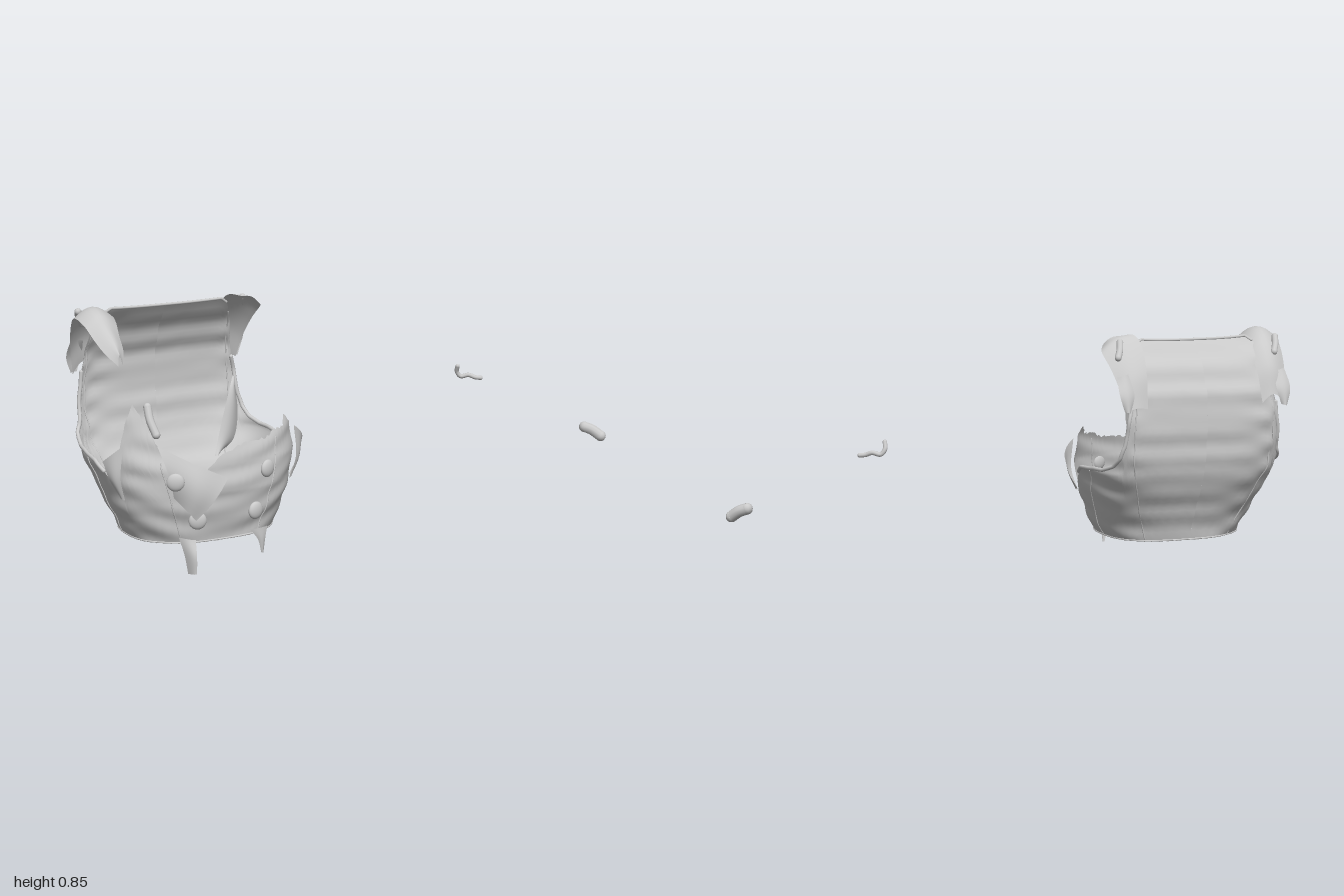
import * as THREE from 'three';
import { mergeVertices } from 'three/addons/utils/BufferGeometryUtils.js';

const cloth = new THREE.MeshStandardMaterial({ color: 0xcacaca, side: THREE.DoubleSide });
cloth.name = 'greyCloth';
const CX = -0.625;
const V = (p) => new THREE.Vector3(...p);

// Linear lookup of column k in a table sorted by its first column
function lookup(table, t, k = 1) {
  let i = 0;
  while (i < table.length - 2 && t > table[i + 1][0]) i++;
  const a = table[i], b = table[i + 1];
  const f = THREE.MathUtils.clamp((t - a[0]) / (b[0] - a[0]), 0, 1);
  return a[k] + (b[k] - a[k]) * f;
}

// Body rings: height, half width, front z, back z, squareness of the back
const rings = [
  [0.08, 0.245, 0.235, -0.175, 0.8], [0.18, 0.292, 0.258, -0.205, 0.7],
  [0.27, 0.322, 0.275, -0.25, 0.6], [0.36, 0.346, 0.27, -0.29, 0.5],
  [0.45, 0.342, 0.25, -0.303, 0.4], [0.55, 0.33, 0.225, -0.31, 0.35],
  [0.65, 0.32, 0.2, -0.3, 0.35], [0.75, 0.312, 0.16, -0.255, 0.35],
  [0.84, 0.28, 0.13, -0.185, 0.35],
];
// Torn top edge: angle from the front (towards +x), height
const armhole = [[69, 0.285], [76, 0.292], [82, 0.335], [90, 0.362], [97, 0.37], [107, 0.372],
  [120, 0.39], [129, 0.42], [134, 0.47], [138, 0.6], [143, 0.74], [148, 0.81], [157, 0.83], [180, 0.825]];
const rim = [
  ...armhole.map(([d, y]) => [-d, y]).reverse(),
  [-65, 0.37], [-58, 0.49], [-51, 0.57], [-44, 0.53], [-32, 0.43], [-16, 0.33], [-8, 0.34],
  [0, 0.40], [8, 0.425], [25, 0.43], [32, 0.45], [42, 0.45], [50, 0.485], [60, 0.43], [65, 0.34],
  ...armhole,
];
// Only the torn front is ragged
const rimY = (d) => lookup(rim, d)
  + (Math.abs(d) < 68 ? 0.005 * Math.sin(d * 1.9) * Math.sin(d * 0.67) : 0);

// Point on the body at an angle in degrees and a height, with soft cloth folds
function bodyPoint(d, y, lift = 0) {
  const t = THREE.MathUtils.degToRad(d), s = Math.sin(t), c = Math.cos(t);
  const a = lookup(rings, y, 1), zf = lookup(rings, y, 2), zb = lookup(rings, y, 3);
  const p = c >= 0 ? 0.8 : lookup(rings, y, 4);
  const zc = (zf + zb) / 2, b = (zf - zb) / 2;
  const fold = 0.0022 * Math.sin(y * 58 + 3 * Math.cos(t * 2) + 2 * s)
    + 0.0015 * Math.sin(y * 83 - 4 * s + 2 * Math.cos(t * 3)) + lift;
  return new THREE.Vector3(
    CX + Math.sign(s) * Math.abs(s) ** p * (a + fold), y,
    zc + Math.sign(c) * Math.abs(c) ** p * (b + fold));
}

// Smooth surface from a grid of points f(u, v)
function sheet(f, nu, nv) {
  const pos = [], idx = [];
  for (let i = 0; i <= nu; i++) for (let j = 0; j <= nv; j++) {
    pos.push(...f(i / nu, j / nv).toArray());
    if (i < nu && j < nv) {
      const k = i * (nv + 1) + j, m = k + nv + 1;
      idx.push(k, m, k + 1, m, m + 1, k + 1);
    }
  }
  let g = new THREE.BufferGeometry();
  g.setAttribute('position', new THREE.Float32BufferAttribute(pos, 3));
  g.setIndex(idx);
  g = mergeVertices(g, 1e-5);
  g.computeVertexNormals();
  return g;
}

// Cloth strip between two edge curves, arched by a bulge vector
function strip(a, b, bulge, n = 32) {
  const ca = new THREE.CatmullRomCurve3(a.map(V)), cb = new THREE.CatmullRomCurve3(b.map(V));
  return sheet((u, v) => ca.getPoint(u).lerp(cb.getPoint(u), v)
    .addScaledVector(V(bulge), Math.sin(Math.PI * v)), n, 8);
}

// Round cord with closed ends
function cord(points, r) {
  const g = new THREE.Group();
  const curve = new THREE.CatmullRomCurve3(points);
  g.add(new THREE.Mesh(new THREE.TubeGeometry(curve, points.length * 6, r, 10), cloth));
  for (const p of [points[0], points[points.length - 1]]) {
    const cap = new THREE.Mesh(new THREE.SphereGeometry(r, 12, 8), cloth);
    cap.position.copy(p);
    g.add(cap);
  }
  return g;
}

export function createModel() {
  const model = new THREE.Group();
  const add = (name, o) => {
    const part = o.isBufferGeometry ? new THREE.Mesh(o, cloth) : o;
    part.name = name;
    model.add(part);
    return part;
  };

  // Vest body
  add('vestBody', sheet((u, v) => {
    const d = -180 + 360 * u, low = 0.102 + 0.003 * Math.sin(d * 0.9);
    return bodyPoint(d, low + (rimY(d) - low) * v);
  }, 240, 44));

  // Hems round the bottom, the armholes and the neck
  const edge = (from, to, h) => Array.from({ length: 40 }, (_, i) => {
    const d = from + (to - from) * i / 39;
    return bodyPoint(d, h(d));
  });
  add('bottomHem', cord(edge(-180, 180, () => 0.104), 0.003));
  add('neckHem', cord(edge(150, 210, (d) => rimY(d > 180 ? d - 360 : d)), 0.005));
  for (const s of [-1, 1]) {
    add('armholeHem', cord(edge(s * 82, s * 138, rimY), 0.007));
    // Seams down the sides, the front and the back
    for (const d of [27, 93, 146]) {
      const top = Math.min(rimY(s * d), 0.8);
      add('seam', cord(Array.from({ length: 14 }, (_, i) =>
        bodyPoint(s * (d + (d < 60 ? i * 0.4 : 0)), 0.11 + (top - 0.12) * i / 13)), 0.0025));
    }
    // Torn corners that flare out in front of the armholes
    const mx = (x) => CX + s * x;
    add('armholeFlap', strip(
      [[mx(0.30), 0.25, 0.14], [mx(0.32), 0.33, 0.155], [mx(0.31), 0.44, 0.16]],
      [[mx(0.31), 0.26, 0.12], [mx(0.345), 0.32, 0.12], [mx(0.365), 0.385, 0.115]], [s * 0.006, 0, 0.006]));
  }

  // Long shoulder strap, crowned along its middle and reaching over to the front
  add('rightStrap', strip(
    [[-0.84, 0.6, -0.31], [-0.835, 0.71, -0.275], [-0.835, 0.785, -0.205], [-0.85, 0.815, -0.12],
      [-0.865, 0.805, -0.05], [-0.875, 0.77, 0.0], [-0.88, 0.73, 0.045], [-0.9, 0.69, 0.085]],
    [[-0.93, 0.59, -0.305], [-0.945, 0.68, -0.28], [-0.965, 0.77, -0.215], [-0.985, 0.82, -0.12],
      [-0.98, 0.805, -0.04], [-0.965, 0.765, 0.005], [-0.945, 0.725, 0.05], [-0.915, 0.69, 0.085]],
    [0, 0.036, -0.006], 48));

  // Short torn strap on the other shoulder
  add('leftStrap', strip(
    [[-0.39, 0.6, -0.315], [-0.4, 0.72, -0.28], [-0.41, 0.81, -0.215], [-0.4, 0.845, -0.17], [-0.36, 0.84, -0.14]],
    [[-0.31, 0.59, -0.315], [-0.295, 0.67, -0.285], [-0.28, 0.74, -0.24], [-0.27, 0.79, -0.19], [-0.3, 0.81, -0.13]],
    [0.005, 0.01, -0.006]));
  // Crumpled knots and frays where the straps meet the back
  for (const x of [-0.93, -0.32]) {
    add('strapKnot', cord([[x - 0.01, 0.825, -0.208], [x, 0.80, -0.23], [x + 0.015, 0.775, -0.25]].map(V), 0.012));
    add('strapFray', strip(
      [[x - 0.01, 0.72, -0.28], [x - 0.02, 0.65, -0.31], [x, 0.59, -0.325]],
      [[x + 0.03, 0.71, -0.275], [x + 0.035, 0.65, -0.312], [x + 0.02, 0.595, -0.32]], [0, 0, -0.008]));
  }

  // Torn shard standing in the neck opening
  add('collarShard', strip(
    [[-0.67, 0.405, 0.295], [-0.635, 0.49, 0.265], [-0.595, 0.57, 0.23], [-0.55, 0.64, 0.18]],
    [[-0.65, 0.41, 0.28], [-0.575, 0.44, 0.235], [-0.54, 0.52, 0.195], [-0.543, 0.635, 0.17]], [0, 0, 0.012]));
  // Folded lapel on the front
  add('lapelFlap', strip(
    [[-0.84, 0.44, 0.22], [-0.73, 0.38, 0.295], [-0.63, 0.33, 0.31]],
    [[-0.80, 0.27, 0.255], [-0.765, 0.225, 0.29], [-0.74, 0.195, 0.295]], [0, 0, 0.02]));
  add('lapelRoll', cord([[-0.845, 0.56, 0.155], [-0.845, 0.52, 0.175], [-0.835, 0.475, 0.2]].map(V), 0.014));

  // Hanging shreds under the front
  add('longShred', strip(
    [[-0.78, 0.13, 0.24], [-0.765, 0.07, 0.25], [-0.755, 0.005, 0.255]],
    [[-0.73, 0.12, 0.265], [-0.735, 0.07, 0.285], [-0.735, 0.008, 0.283]], [0, 0, 0.008]));
  add('shortShred', strip(
    [[-0.52, 0.12, 0.24], [-0.49, 0.08, 0.235], [-0.475, 0.03, 0.23]],
    [[-0.45, 0.12, 0.225], [-0.46, 0.08, 0.23], [-0.465, 0.03, 0.225]], [0, 0, 0.005]));

  // Four domed buttons
  for (const [d, y, lift] of [[-24, 0.33, 0.03], [-14, 0.19, 0.025], [23, 0.33, 0.004], [18, 0.19, 0.004]]) {
    const b = add('button', new THREE.SphereGeometry(0.03, 20, 14));
    b.position.copy(bodyPoint(d, y, lift));
    b.rotation.y = THREE.MathUtils.degToRad(d);
    b.scale.z = 0.45;
  }

  // Loose hooked scrap
  add('hookScrap', cord([[0.503, 0.508, -0.124], [0.506, 0.485, -0.134], [0.52, 0.467, -0.13],
    [0.545, 0.472, -0.115], [0.565, 0.464, -0.1], [0.582, 0.462, -0.09]].map(V), 0.008));
  // Loose toggle
  add('toggle', cord([[0.933, 0.272, 0.082], [0.955, 0.262, 0.1], [0.978, 0.241, 0.124]].map(V), 0.02));

  return model;
}
